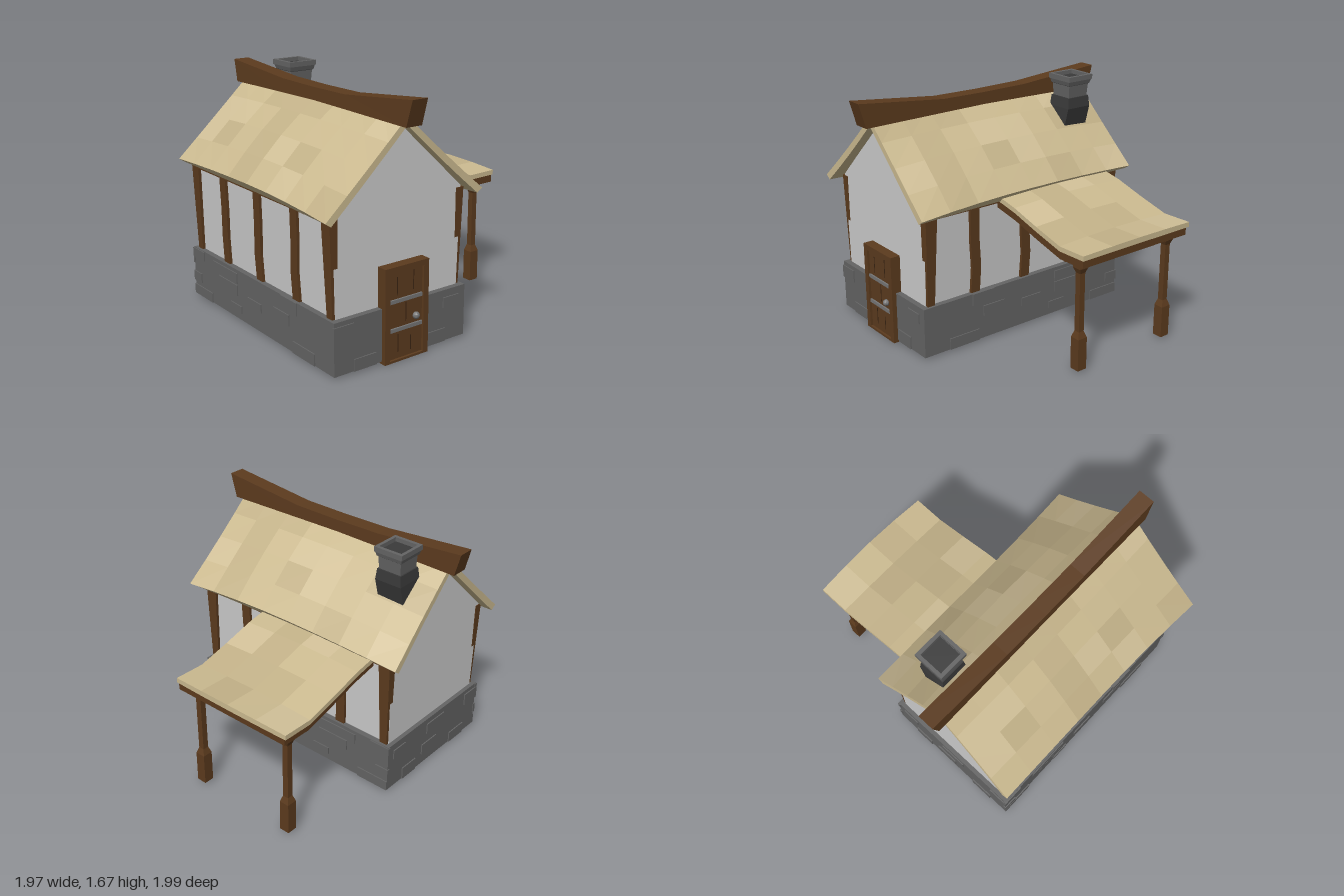
import * as THREE from 'three';

const mat = (name, color) => Object.assign(new THREE.MeshStandardMaterial({ color, flatShading: true }), { name });

const M = {
  thatch: mat('thatch', 0xcbba90),
  thatchDark: mat('darker thatch', 0xc2b188),
  thatchLight: mat('lighter thatch', 0xd1c098),
  wood: mat('wood', 0x5c3b1e),
  darkWood: mat('wood gaps', 0x3a2412),
  plaster: mat('plaster', 0xcccccc),
  stone: mat('stone', 0x646464),
  soot: mat('sooty stone', 0x3a3a3a),
  metal: mat('metal', 0x757575),
};
const THATCH = [M.thatch, M.thatchDark, M.thatchLight];
const CX = -0.385; // centre line of the house

// Joins closed rings of equal, even length into a capped solid, one material index per quad
function loft(rings, pick = null) {
  const quads = [], n = rings[0].length;
  for (let i = 0; i < rings.length - 1; i++)
    for (let j = 0; j < n; j++) {
      const k = (j + 1) % n;
      quads.push([rings[i][j], rings[i][k], rings[i + 1][k], rings[i + 1][j], pick ? pick(i, j) : 0]);
    }
  const first = rings[0], last = rings[rings.length - 1];
  for (let j = 0; j < n / 2 - 1; j++) {
    quads.push([first[j], first[n - 1 - j], first[n - 2 - j], first[j + 1], 0]);
    quads.push([last[j], last[j + 1], last[n - 2 - j], last[n - 1 - j], 0]);
  }
  // turn every face outwards, judged by the enclosed volume
  const v = (p) => new THREE.Vector3(...p);
  let volume = 0;
  for (const [a, b, c, d] of quads)
    volume += v(a).dot(v(b).cross(v(c))) + v(a).dot(v(c).cross(v(d)));
  const pos = [], geo = new THREE.BufferGeometry();
  quads.forEach(([a, b, c, d, m], q) => {
    pos.push(...(volume > 0 ? [a, b, c, a, c, d] : [a, c, b, a, d, c]).flat());
    geo.addGroup(q * 6, 6, m);
  });
  geo.setAttribute('position', new THREE.Float32BufferAttribute(pos, 3));
  if (!pick) geo.clearGroups();
  geo.computeVertexNormals();
  return geo;
}

const rectY = (x0, x1, y, z0, z1) => [[x0, y, z0], [x1, y, z0], [x1, y, z1], [x0, y, z1]];
// Small repeatable patch pattern
const patch = (i, j) => [0, 0, 1, 0, 2, 1, 0, 2, 0, 1, 0][(i * 7 + j * 5 + i * j) % 11];

export function createModel() {
  const root = new THREE.Group();
  root.name = 'cottage';
  const add = (name, geo, material, x = 0, y = 0, z = 0, parent = root) => {
    const m = new THREE.Mesh(geo, material);
    m.name = name;
    m.position.set(x, y, z);
    parent.add(m);
    return m;
  };
  const box = (name, material, x0, x1, y0, y1, z0, z1) =>
    add(name, new THREE.BoxGeometry(x1 - x0, y1 - y0, z1 - z0), material, (x0 + x1) / 2, (y0 + y1) / 2, (z0 + z1) / 2);

  // Stone foundation with slightly raised blocks
  box('foundation', M.stone, -0.905, 0.135, 0.02, 0.37, -0.85, 0.86);
  for (const [x0, x1, y0, y1] of [[-0.91, -0.76, 0.25, 0.34], [-0.76, -0.59, 0.02, 0.1], [-0.05, 0.08, 0.25, 0.32], [-0.18, -0.03, 0.02, 0.11]]) {
    box('frontBlock', M.stone, x0, x1, y0, y1, 0.85, 0.868);
    box('backBlock', M.stone, x0, x1, y0, y1, -0.858, -0.84);
  }
  for (const [x0, x1, y0, y1] of [[-0.5, -0.3, 0.25, 0.33], [-0.42, -0.25, 0.1, 0.18]])
    box('backBlock', M.stone, x0, x1, y0, y1, -0.858, -0.84);
  const sideBlocks = [
    [0.29, 0.47, 0.285, 0.37], [0.42, 0.66, 0.02, 0.1], [0.2, 0.38, 0.185, 0.26], [-0.12, 0.05, 0.16, 0.22],
    [-0.57, -0.25, 0.27, 0.345], [-0.5, -0.25, 0.185, 0.26], [-0.34, -0.2, 0.07, 0.12],
    [-0.85, -0.6, 0.02, 0.09], [-0.855, -0.75, 0.12, 0.19], [-0.855, -0.7, 0.3, 0.365],
  ];
  for (const [z0, z1, y0, y1] of sideBlocks) {
    box('rightBlock', M.stone, -0.913, -0.89, y0, y1, z0, z1);
    box('leftBlock', M.stone, 0.12, 0.143, y0, y1, z0, z1);
  }

  // Plastered walls with gables
  const wall = new THREE.Shape([[-0.48, 0.36], [0.48, 0.36], [0.5, 1.03], [0, 1.5], [-0.5, 1.03]].map((p) => new THREE.Vector2(...p)));
  add('walls', new THREE.ExtrudeGeometry(wall, { depth: 1.64, bevelEnabled: false }), M.plaster, CX, 0, -0.82);

  for (const s of [1, -1]) {
    const X = (x) => CX + s * x;
    // Tapered corner posts
    for (const e of [1, -1])
      add('cornerPost', loft([
        rectY(X(0.46), X(0.5), 0.36, e * 0.76, e * 0.815),
        rectY(X(0.46), X(0.52), 1.02, e * 0.735, e * 0.825),
      ]), M.wood);
    // Crooked wall studs
    for (const [z, lean] of [[0.43, 0.01], [0.005, 0.01], [-0.415, 0.005]])
      add('wallStud', loft([[0.36, 0], [0.55, -lean], [0.75, 0.005], [1.0, lean]].map(([y, dz]) =>
        rectY(X(0.46), X(0.5 + (y - 0.36) * 0.03), y, z + dz - 0.036, z + dz + 0.036))), M.wood);
    add('wallPlate', loft([
      rectY(X(0.48), X(0.522), 0.972, -0.81, 0.81),
      rectY(X(0.48), X(0.522), 1.01, -0.81, 0.81),
    ]), M.wood);

    // Thatched roof slope: bulging slab, sagging ridge, flared corners
    const rings = [];
    for (let i = 0; i <= 8; i++) {
      const t = i / 4 - 1, top = [], under = [];
      for (let j = 0; j <= 4; j++) {
        const v = j / 4, bulge = Math.sin(Math.PI * v) * 0.03 * (1 - t * t);
        const z = t * (0.892 + 0.014 * v * v);
        const flare = v * (t > 0 ? 0.03 * t * t : 0);
        top.push([X(v * (0.575 + flare) + bulge * 0.6), 1.55 - v * (0.535 - 0.025 * (1 - t * t)) + bulge * 0.7, z]);
        under.unshift([X(v * (0.535 + flare)), 1.498 - v * 0.51, z]);
      }
      rings.push([...top, ...under]);
    }
    add('roofSlope', loft(rings, (i, j) => (j < 4 ? patch(i + (s > 0 ? 0 : 3), j) : 0)), THATCH);
  }

  // Sagging ridge beam with raised ends
  const ridge = [[-0.99, -0.95, 1.655, 1.5], [-0.35, -0.35, 1.605, 1.51], [0, 0, 1.6, 1.515], [0.35, 0.35, 1.603, 1.51], [1, 0.95, 1.67, 1.5]];
  add('ridgeBeam', loft(ridge.map(([zt, zb, yt, yb]) =>
    [[-0.445, yb, zb], [-0.325, yb, zb], [-0.325, yt, zt], [-0.44, yt, zt]])), M.wood);

  // Crooked chimney: sooty foot, flared open top
  const flue = (list) => loft(list.map(([x, y, h]) => rectY(x - h, x + h, y, -0.633 - h, -0.633 + h)));
  add('chimneyFoot', flue([[-0.225, 1.22, 0.1], [-0.165, 1.44, 0.1], [-0.163, 1.515, 0.092]]), M.soot);
  add('chimneyStack', flue([[-0.163, 1.51, 0.083], [-0.16, 1.6, 0.088], [-0.16, 1.605, 0.095], [-0.16, 1.64, 0.105]]), M.stone);
  const rim = new THREE.Shape([[-1, -1], [1, -1], [1, 1], [-1, 1]].map(([a, b]) => new THREE.Vector2(a * 0.11, b * 0.108)));
  rim.holes.push(new THREE.Path([[-1, -1], [-1, 1], [1, 1], [1, -1]].map(([a, b]) => new THREE.Vector2(a * 0.085, b * 0.085))));
  add('chimneyRim', new THREE.ExtrudeGeometry(rim, { depth: 0.035, bevelEnabled: false }).rotateX(-Math.PI / 2), M.stone, -0.16, 1.635, -0.633);
  box('flueOpening', M.soot, -0.243, -0.077, 1.638, 1.643, -0.716, -0.55);

  // Door: frame, planks, straps and knob
  const frame = new THREE.Shape([[-0.545, 0], [-0.2, 0], [-0.2, 0.63], [-0.545, 0.63]].map((p) => new THREE.Vector2(...p)));
  frame.holes.push(new THREE.Path([[-0.505, 0.015], [-0.505, 0.592], [-0.24, 0.592], [-0.24, 0.015]].map((p) => new THREE.Vector2(...p))));
  add('doorFrame', new THREE.ExtrudeGeometry(frame, { depth: 0.075, bevelEnabled: false }), M.wood, 0, 0.003, 0.818);
  box('doorPanel', M.wood, -0.51, -0.235, 0.005, 0.6, 0.82, 0.876);
  for (const [x, y0, y1] of [[-0.44, 0.44, 0.56], [-0.37, 0.25, 0.38], [-0.31, 0.45, 0.58], [-0.43, 0.06, 0.18], [-0.33, 0.05, 0.15]])
    box('plankGap', M.darkWood, x - 0.003, x + 0.003, y0, y1, 0.874, 0.878);
  for (const y of [0.215, 0.405])
    box('doorStrap', M.metal, -0.5, -0.245, y - 0.012, y + 0.012, 0.87, 0.888);
  add('doorKnob', new THREE.SphereGeometry(0.024, 10, 8), M.metal, -0.293, 0.273, 0.885);

  // Lean-to canopy: thatch over a curved timber deck
  const curve = [[0.11, 1.02], [0.3, 0.982], [0.52, 0.918], [0.75, 0.858], [0.97, 0.862]];
  const canopy = (xEnd, z0, z1, up, down, crown) => curve.map(([x, y], i) => {
    const top = [], under = [];
    for (let j = 0; j <= 4; j++) {
      const z = z0 + (z1 - z0) * j / 4, c = crown * Math.sin(Math.PI * j / 4);
      const px = Math.min(x, xEnd) + (i === 4 ? c : 0);
      top.push([px, y + up + c, z]);
      under.unshift([px, y + down + c * 0.6, z]);
    }
    return [...top, ...under];
  });
  add('canopyThatch', loft(canopy(0.97, -0.698, 0.242, 0, -0.034, 0.014), (i, j) => (j < 4 ? patch(i, j + 2) : 0)), THATCH);
  add('canopyDeck', loft(canopy(0.96, -0.68, 0.236, -0.03, -0.088, 0)), M.wood);

  // Square canopy posts with wide foot and cap
  const profile = [[0, 0.02], [0.036, 0.02], [0.036, 0.245], [0.021, 0.29], [0.021, 0.695], [0.034, 0.73], [0.034, 0.79], [0, 0.79]]
    .map(([r, y]) => new THREE.Vector2(r * Math.SQRT2, y));
  for (const z of [0.157, -0.605])
    add('canopyPost', new THREE.LatheGeometry(profile, 4, Math.PI / 4), M.wood, 0.855, 0, z);

  return root;
}
